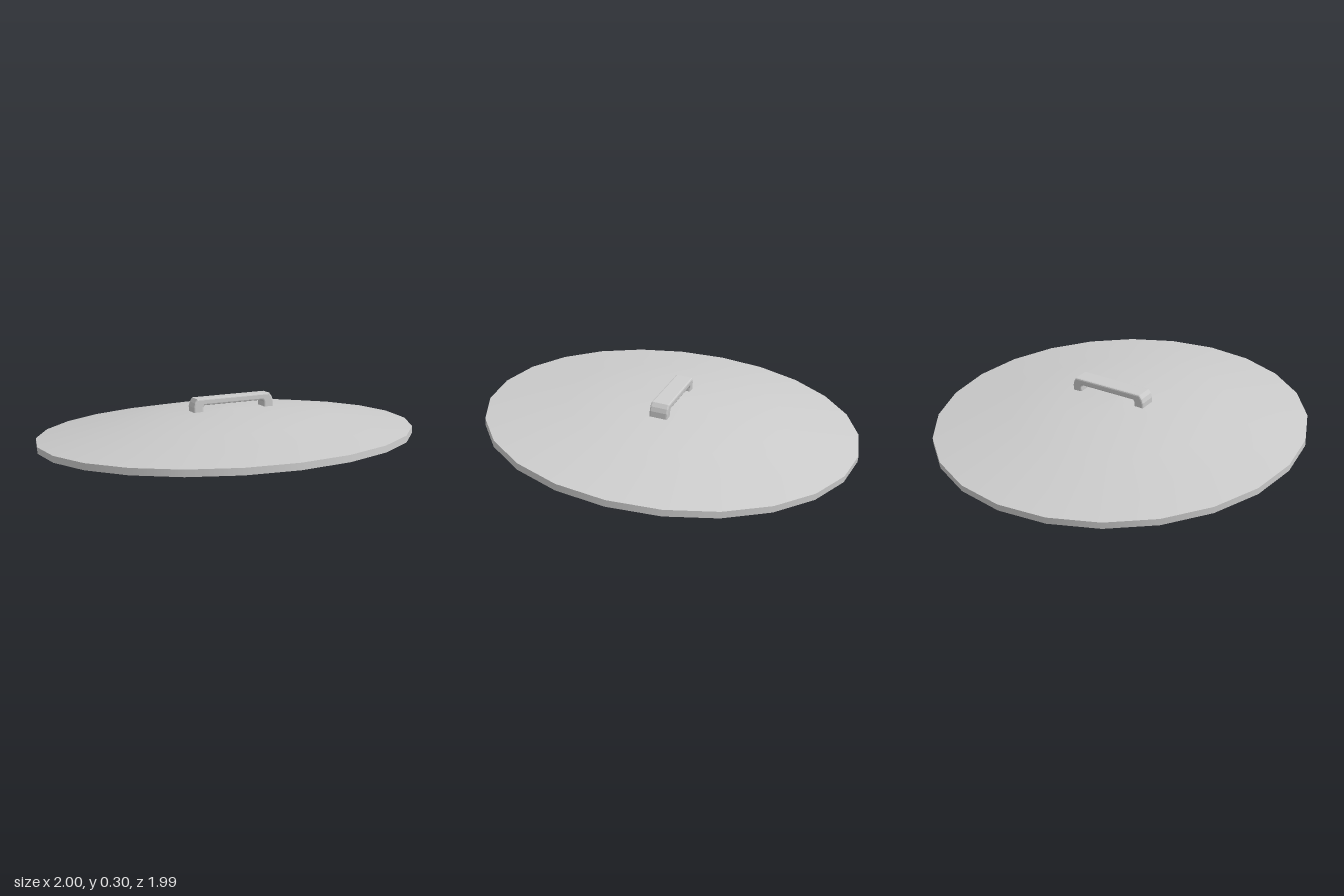
import * as THREE from 'three';

const material = new THREE.MeshStandardMaterial({ color: 0xcccccc });

export function createModel() {
  const model = new THREE.Group();
  model.name = 'potLid';

  // The lid lies slightly tipped, its front edge raised
  const lid = new THREE.Group();
  lid.name = 'tiltedLid';
  lid.rotation.set(-0.0875, 0.03, 0.013);
  lid.position.y = 0.0885;
  model.add(lid);

  // Lathed 24-sided pieces, kept apart so the rim edges stay sharp
  const sides = 24, rim = 0.034;
  const turned = (name, points) => {
    const profile = points.map(([r, y]) => new THREE.Vector2(r, y));
    const mesh = new THREE.Mesh(new THREE.LatheGeometry(profile, sides), material);
    mesh.name = name;
    lid.add(mesh);
  };
  turned('underside', [[0, 0], [1, 0]]);
  turned('rim', [[1, 0], [1, rim]]);
  turned('dome', [[1, rim], [0.58, 0.104], [0.3, 0.135], [0, 0.146]]);

  // Bridge handle: chamfered outline with an open underside, lightly bevelled
  const bevel = 0.008, width = 0.097;
  const outer = 0.227 - bevel, inner = 0.172 + bevel, top = 0.21 - bevel;
  const outline = [
    [-outer, 0.1], [-inner, 0.1], [-inner, 0.166], [-inner + 0.008, 0.174 + bevel],
    [inner - 0.008, 0.174 + bevel], [inner, 0.166], [inner, 0.1], [outer, 0.1],
    [outer, 0.165], [outer - 0.006, 0.186], [outer - 0.017, top],
    [-outer + 0.017, top], [-outer + 0.006, 0.186], [-outer, 0.165],
  ].map(([x, y]) => new THREE.Vector2(x, y));
  const geometry = new THREE.ExtrudeGeometry(new THREE.Shape(outline), {
    depth: width - 2 * bevel, bevelEnabled: true,
    bevelSize: bevel, bevelThickness: bevel, bevelSegments: 2,
  });
  geometry.translate(0, 0, -width / 2 + bevel);
  const handle = new THREE.Mesh(geometry, material);
  handle.name = 'handle';
  handle.position.set(0.048, 0, 0.008);
  lid.add(handle);

  return model;
}
